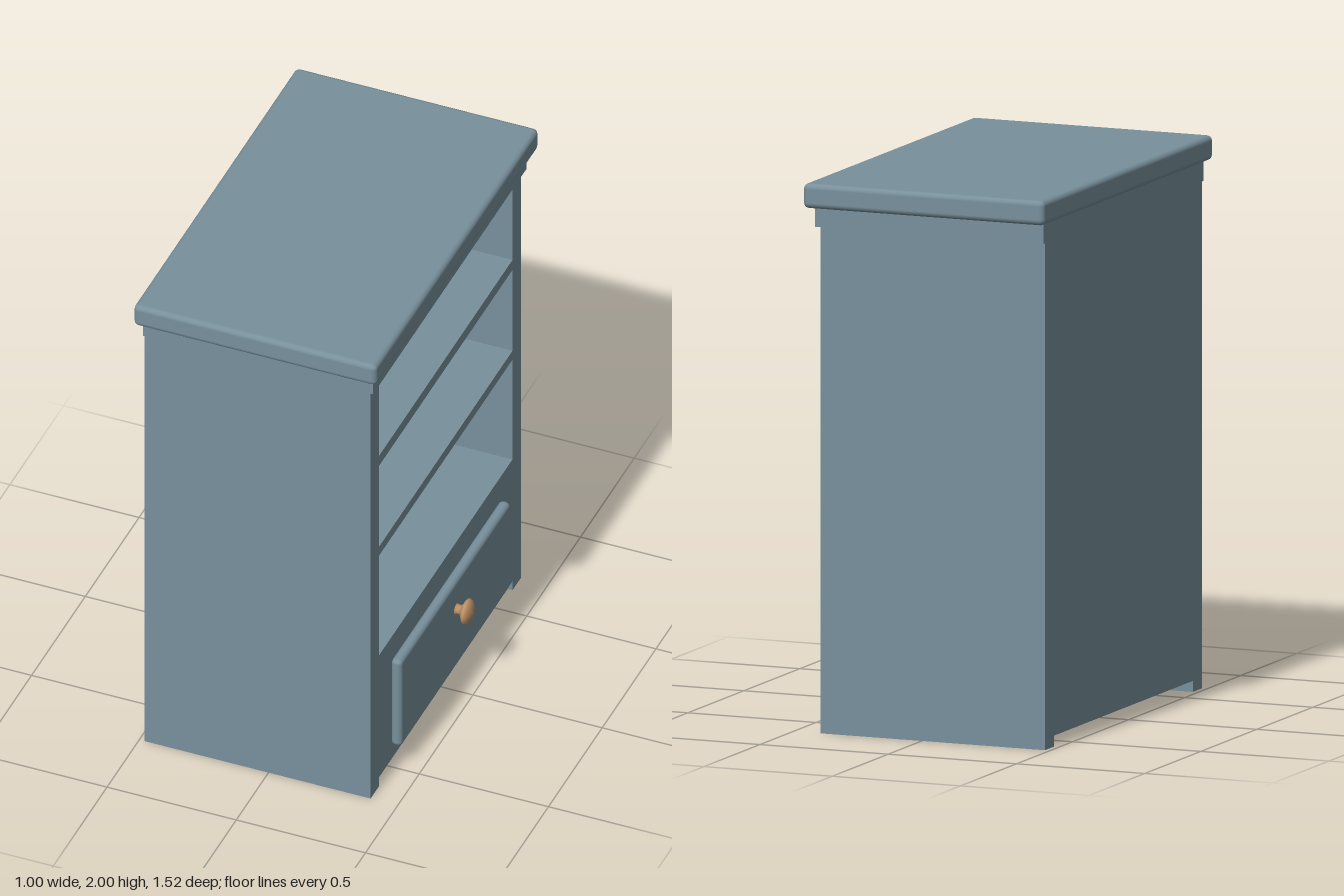
import * as THREE from 'three';
import { RoundedBoxGeometry } from 'three/addons/geometries/RoundedBoxGeometry.js';

export function createModel() {
  const model = new THREE.Group();
  model.name = 'bookcase';
  const paint = new THREE.MeshStandardMaterial({ color: 0x78909c });
  const wood = new THREE.MeshStandardMaterial({ color: 0xbf9468 });

  function add(name, geometry, material, x = 0, y = 0, z = 0) {
    const mesh = new THREE.Mesh(geometry, material);
    mesh.name = name;
    mesh.position.set(x, y, z);
    model.add(mesh);
    return mesh;
  }

  // Case outline across the width, with a foot runner at each end
  function caseOutline() {
    return new THREE.Shape([
      [-0.7, 0], [-0.62, 0], [-0.62, 0.04], [0.62, 0.04], [0.62, 0],
      [0.7, 0], [0.7, 1.9], [-0.7, 1.9],
    ].map(([x, y]) => new THREE.Vector2(x, y)));
  }

  // Extrude an outline along +x, starting at the given x
  function slab(shape, depth) {
    return new THREE.ExtrudeGeometry(shape, { depth, bevelEnabled: false }).rotateY(Math.PI / 2);
  }

  // Carcass with three open compartments between its shelves
  const carcass = caseOutline();
  for (const [low, high] of [[0.59, 1.04], [1.08, 1.445], [1.49, 1.84]]) {
    carcass.holes.push(new THREE.Path([
      new THREE.Vector2(-0.62, low), new THREE.Vector2(-0.62, high),
      new THREE.Vector2(0.62, high), new THREE.Vector2(0.62, low),
    ]));
  }
  add('carcass', slab(carcass, 0.835), paint, -0.44);
  add('backPanel', slab(caseOutline(), 0.04), paint, -0.48);

  // Moulding and top board
  add('moulding', new THREE.BoxGeometry(0.89, 0.075, 1.426), paint, -0.035, 1.8755);
  add('topBoard', new RoundedBoxGeometry(0.94, 0.09, 1.52, 2, 0.02), paint, -0.03, 1.955);

  // Drawer front
  add('drawerFront', new RoundedBoxGeometry(0.042, 0.386, 1.024, 2, 0.018), paint, 0.414, 0.298);

  // Turned drawer knob
  const profile = [
    [0, 0], [0.022, 0], [0.018, 0.012], [0.018, 0.02], [0.03, 0.03],
    [0.046, 0.037], [0.049, 0.044], [0.045, 0.053], [0.028, 0.063], [0, 0.067],
  ].map(([r, h]) => new THREE.Vector2(r, h));
  add('drawerKnob', new THREE.LatheGeometry(profile, 12).rotateZ(-Math.PI / 2), wood, 0.433, 0.37);

  return model;
}
